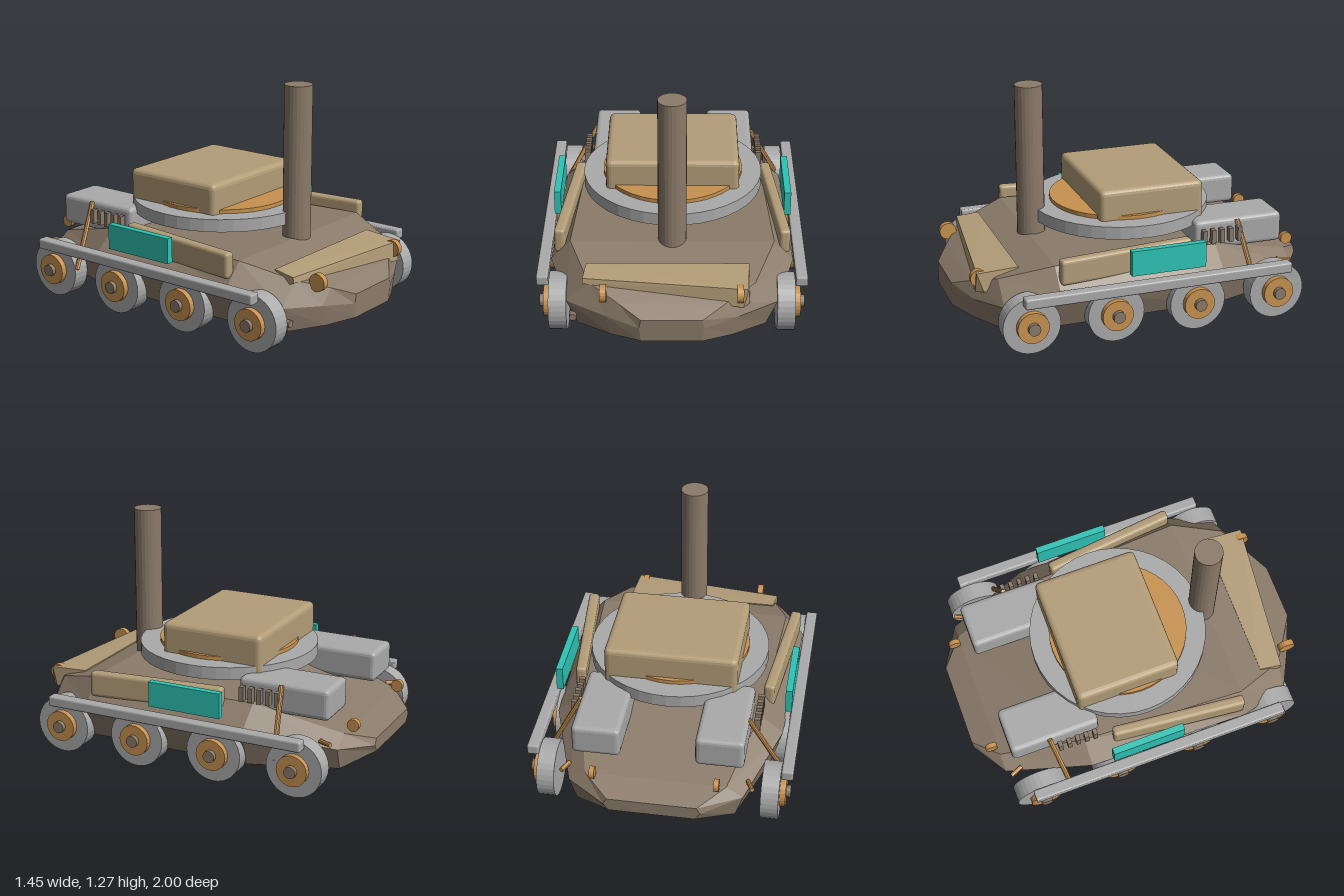
import * as THREE from 'three';
import { RoundedBoxGeometry } from 'three/addons/geometries/RoundedBoxGeometry.js';
import { ConvexGeometry } from 'three/addons/geometries/ConvexGeometry.js';

const material = (name, color) => {
  const m = new THREE.MeshStandardMaterial({ color, flatShading: true });
  m.name = name;
  return m;
};

export function createModel() {
  const hullBrown = material('hull brown', 0x8b7b6a);
  const tan = material('armour tan', 0xb39d78);
  const grey = material('metal grey', 0xaaaaaa);
  const orange = material('copper orange', 0xc8924f);
  const teal = material('teal', 0x2ec4b6);

  const model = new THREE.Group();
  model.name = 'armouredVehicle';

  const add = (name, geometry, mat, x = 0, y = 0, z = 0) => {
    const mesh = new THREE.Mesh(geometry, mat);
    mesh.name = name;
    mesh.position.set(x, y, z);
    model.add(mesh);
    return mesh;
  };
  const box = (w, h, d, r = 0) =>
    r ? new RoundedBoxGeometry(w, h, d, 2, r) : new THREE.BoxGeometry(w, h, d);
  const drum = (r, h, sides = 32) => new THREE.CylinderGeometry(r, r, h, sides);
  const axleDrum = (r, w, sides = 32) => drum(r, w, sides).rotateZ(Math.PI / 2);
  // thin rod between two points
  const rod = (name, from, to, r, mat) => {
    const a = new THREE.Vector3(...from), b = new THREE.Vector3(...to);
    const dir = b.clone().sub(a);
    const mid = a.clone().add(b).multiplyScalar(0.5);
    const mesh = add(name, drum(r, dir.length(), 10), mat, mid.x, mid.y, mid.z);
    mesh.quaternion.setFromUnitVectors(new THREE.Vector3(0, 1, 0), dir.normalize());
  };

  // Hull: six-sided cross-sections lofted from nose to tail
  // z, bottom half width, bottom y, middle half width, middle y, top half width, top y
  const sections = [
    [1, 0.16, 0.12, 0.17, 0.2, 0.16, 0.25],
    [0.92, 0.32, 0.105, 0.35, 0.22, 0.28, 0.3],
    [0.81, 0.5, 0.1, 0.56, 0.24, 0.44, 0.36],
    [0.53, 0.57, 0.1, 0.655, 0.32, 0.55, 0.437],
    [-0.4, 0.57, 0.1, 0.63, 0.31, 0.5, 0.42],
    [-0.87, 0.43, 0.11, 0.47, 0.23, 0.38, 0.29],
    [-1, 0.23, 0.16, 0.26, 0.2, 0.24, 0.235],
  ];
  const points = [], faces = [];
  for (const [z, bw, by, mw, my, tw, ty] of sections) {
    points.push(bw, by, z, mw, my, z, tw, ty, z, -tw, ty, z, -mw, my, z, -bw, by, z);
  }
  const last = (sections.length - 1) * 6;
  for (let s = 0; s < last; s += 6) {
    for (let i = 0; i < 6; i++) {
      const a = s + i, b = s + ((i + 1) % 6);
      faces.push(a, a + 6, b, b, a + 6, b + 6);
    }
  }
  for (let i = 1; i < 5; i++) faces.push(0, i, i + 1, last, last + i + 1, last + i);
  const hull = new THREE.BufferGeometry();
  hull.setAttribute('position', new THREE.Float32BufferAttribute(points, 3));
  hull.setIndex(faces);
  hull.computeVertexNormals();
  add('hull', hull, hullBrown);

  // Turret and upright post
  add('turretRing', drum(0.5, 0.07, 40), grey, 0, 0.541, -0.015);
  add('turretDisc', drum(0.39, 0.09, 40), orange, 0, 0.553, -0.015);
  add('turretBox', box(0.735, 0.26, 0.595, 0.03), tan, 0, 0.614, -0.083);
  add('post', drum(0.077, 0.855, 24), hullBrown, 0, 0.8475, 0.5);

  // Slanted nose plate, deeper on its left end
  const noseCorners = [
    [-0.455, 0.4, 0.69], [0.41, 0.4, 0.69], [-0.47, 0.385, 0.815], [0.4, 0.385, 0.915],
    [-0.47, 0.355, 0.82], [0.375, 0.275, 0.92], [0.41, 0.28, 0.88], [-0.46, 0.3, 0.7], [0.41, 0.28, 0.7],
  ].map((p) => new THREE.Vector3(...p));
  add('nosePlate', new ConvexGeometry(noseCorners), tan);

  // Everything repeated on both sides
  for (const side of [1, -1]) {
    const skirt = add('sideSkirt', box(0.06, 0.14, 0.765, 0.018), tan, side * 0.57, 0.423, 0.14);
    skirt.rotation.y = side * 0.106;
    add('tealPanel', box(0.038, 0.14, 0.42), teal, side * 0.645, 0.437, -0.07);
    add('sideRail', box(0.065, 0.058, 1.505, 0.01), grey, side * 0.69, 0.314, -0.013);
    add('enginePod', box(0.262, 0.17, 0.515, 0.025), grey, side * 0.332, 0.455, -0.555);
    for (let i = 0; i < 5; i++) {
      add('ventFin', box(0.035, 0.08, 0.024), hullBrown, side * 0.5, 0.465, -0.336 - i * 0.051);
    }
    for (const z of [0.69, 0.225, -0.24, -0.705]) {
      add('wheel', axleDrum(0.157, 0.096), grey, side * 0.607, 0.162, z);
      add('hub', axleDrum(0.086, 0.07, 24), orange, side * 0.652, 0.162, z);
      add('axleCap', axleDrum(0.033, 0.07, 16), hullBrown, side * 0.676, 0.162, z);
    }
    add('frontLamp', axleDrum(0.048, 0.034, 20), orange, side * 0.358, 0.347, 0.895);
    add('rearLamp', axleDrum(0.034, 0.028, 20), orange, side * 0.332, 0.327, -0.905);
    rod('stay', [side * 0.46, 0.53, side > 0 ? -0.545 : -0.59],
      [side * 0.645, 0.185, side > 0 ? -0.588 : -0.545], 0.014, orange);
    rod('rearPeg', [side * 0.515, 0.27, -0.85], [side * 0.485, 0.27, -0.78], 0.013, orange);
  }

  // Single bolt on the lower nose
  const bolt = drum(0.02, 0.06, 14).rotateX(Math.PI / 2);
  add('noseBolt', bolt, hullBrown, -0.525, 0.155, 0.815);

  return model;
}
